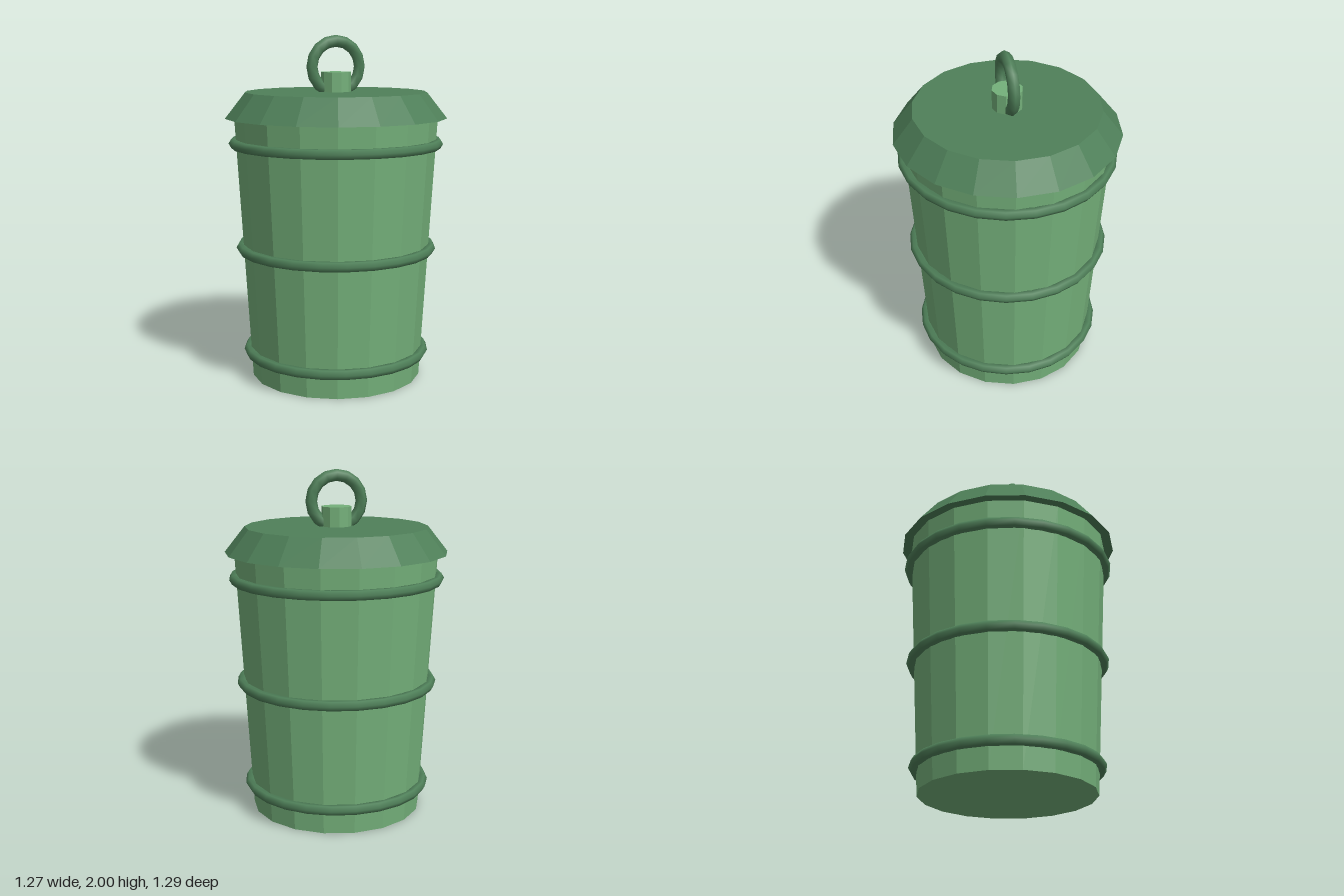
import * as THREE from 'three';

export function createModel() {
  const model = new THREE.Group();
  model.name = 'trashCan';

  const lightGreen = new THREE.MeshStandardMaterial({ name: 'lightGreen', color: 0x74b07a });
  const darkGreen = new THREE.MeshStandardMaterial({ name: 'darkGreen', color: 0x4f8059 });

  function add(name, geometry, material, y) {
    const mesh = new THREE.Mesh(geometry, material);
    mesh.name = name;
    mesh.position.y = y;
    model.add(mesh);
    return mesh;
  }

  // Faceted tapered cylinder standing between two heights
  function drum(name, rTop, rBottom, y0, y1, sides, material) {
    const geometry = new THREE.CylinderGeometry(rTop, rBottom, y1 - y0, sides).toNonIndexed();
    geometry.computeVertexNormals();
    return add(name, geometry, material, (y0 + y1) / 2);
  }

  drum('body', 0.59, 0.5, 0, 1.54, 18, lightGreen);
  drum('lid', 0.527, 0.643, 1.53, 1.677, 18, darkGreen);
  drum('knob', 0.087, 0.087, 1.67, 1.79, 10, lightGreen);

  // Hoops around the body
  for (const [y, radius] of [[0.15, 0.52], [0.77, 0.557], [1.383, 0.592]]) {
    const hoop = new THREE.TorusGeometry(radius, 0.03, 6, 24).rotateX(Math.PI / 2);
    add('hoop', hoop, darkGreen, y);
  }

  // Upright pull ring, its lower end sunk into the lid
  add('pullRing', new THREE.TorusGeometry(0.146, 0.034, 6, 16), darkGreen, 1.82);

  return model;
}
